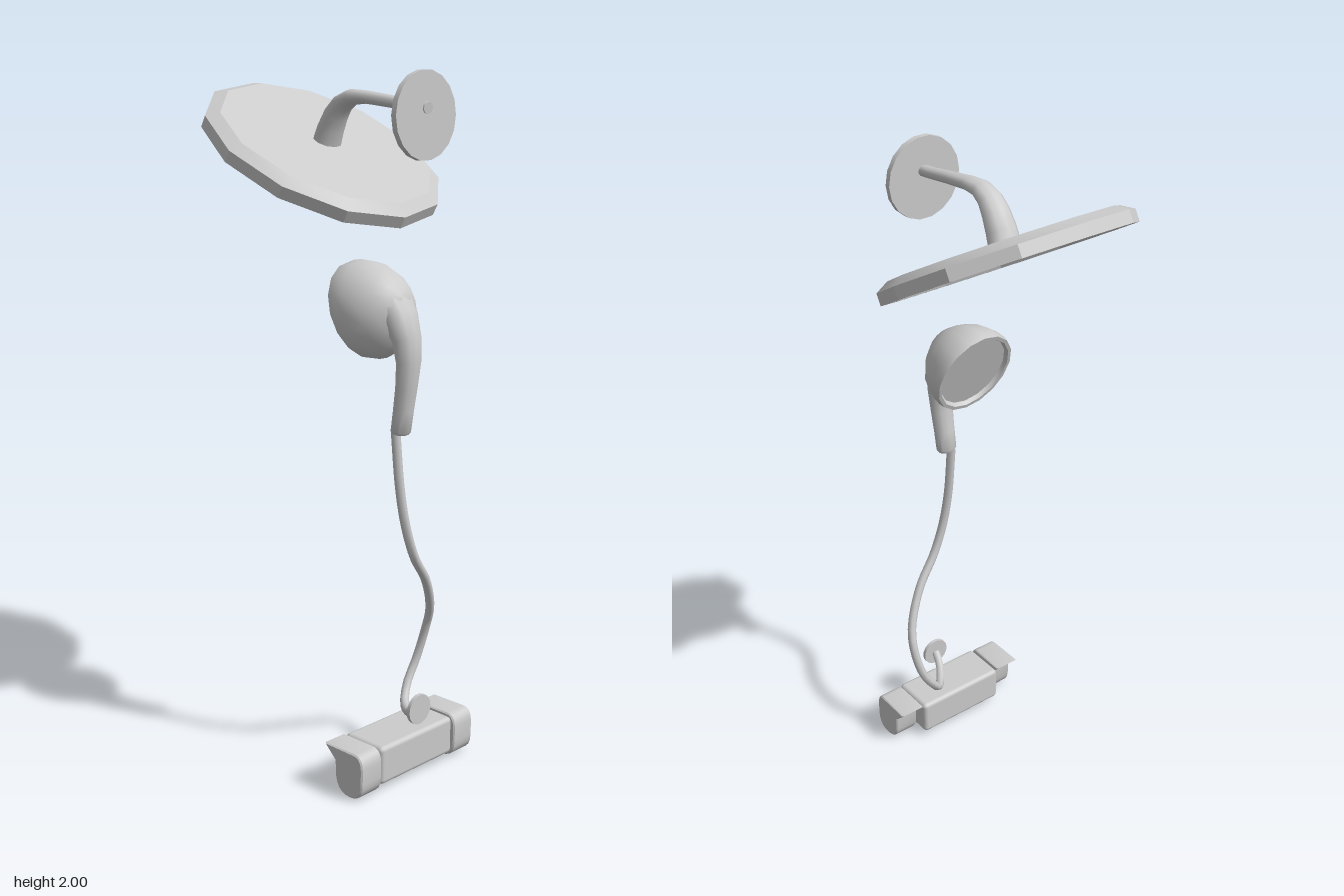
import * as THREE from 'three';
import { toCreasedNormals } from 'three/addons/utils/BufferGeometryUtils.js';
import { RoundedBoxGeometry } from 'three/addons/geometries/RoundedBoxGeometry.js';

const grey = new THREE.MeshStandardMaterial({ color: 0xcccccc });

function part(name, geometry, parent, crease = 0.6) {
  const mesh = new THREE.Mesh(crease ? toCreasedNormals(geometry, crease) : geometry, grey);
  mesh.name = name;
  parent.add(mesh);
  return mesh;
}

// Skin of elliptical sections [x, y, radius in plane, radius along z],
// square to the path or to a fixed direction, closed at both ends.
function loft(sections, sides, z0 = 0, direction = null) {
  const pos = [], index = [];
  const n = sections.length;
  sections.forEach(([x, y, rn, rz], i) => {
    const a = sections[Math.max(i - 1, 0)], b = sections[Math.min(i + 1, n - 1)];
    const t = (direction || new THREE.Vector2(b[0] - a[0], b[1] - a[1])).clone().normalize();
    for (let k = 0; k < sides; k++) {
      const ang = (k / sides) * Math.PI * 2;
      const u = Math.cos(ang) * rn;
      pos.push(x - t.y * u, y + t.x * u, z0 + Math.sin(ang) * rz);
    }
  });
  for (let i = 0; i < n - 1; i++) {
    for (let k = 0; k < sides; k++) {
      const k2 = (k + 1) % sides;
      const a = i * sides + k, b = i * sides + k2;
      index.push(a, b, b + sides, a, b + sides, a + sides);
    }
  }
  const first = pos.length / 3, last = first + 1, end = (n - 1) * sides;
  pos.push(sections[0][0], sections[0][1], z0, sections[n - 1][0], sections[n - 1][1], z0);
  for (let k = 0; k < sides; k++) {
    const k2 = (k + 1) % sides;
    index.push(first, k2, k, last, end + k, end + k2);
  }
  const g = new THREE.BufferGeometry();
  g.setAttribute('position', new THREE.Float32BufferAttribute(pos, 3));
  g.setIndex(index);
  g.computeVertexNormals();
  return g;
}

// Round wall plate facing along x
function wallPlate(name, parent, radius, thickness, x, y, z) {
  const g = new THREE.CylinderGeometry(radius, radius, thickness, 18);
  g.rotateZ(Math.PI / 2);
  part(name, g, parent).position.set(x, y, z);
}

export function createModel() {
  const model = new THREE.Group();
  model.name = 'showerSet';

  // Overhead shower: tilted twelve-sided disc with a shallow recess underneath
  const overhead = new THREE.Group();
  overhead.name = 'overheadShower';
  model.add(overhead);
  const discProfile = [[0, 0.01], [0.335, 0.01], [0.345, 0], [0.357, 0], [0.357, 0.035], [0.32, 0.056], [0, 0.056]]
    .map(([r, y]) => new THREE.Vector2(r, y));
  const disc = part('rainDisc', new THREE.LatheGeometry(discProfile, 12), overhead, 0.3);
  disc.position.set(-0.047, 1.763, 0);
  disc.rotation.z = -Math.PI / 6;

  // Curved arm, flared where it meets the disc
  part('overheadArm', loft([
    [-0.026, 1.80, 0.036, 0.049], [-0.008, 1.845, 0.033, 0.046], [0.014, 1.885, 0.03, 0.042],
    [0.04, 1.915, 0.026, 0.037], [0.075, 1.932, 0.022, 0.033], [0.13, 1.932, 0.018, 0.028],
    [0.22, 1.921, 0.017, 0.022], [0.30, 1.91, 0.016, 0.019], [0.357, 1.904, 0.016, 0.018],
  ], 10), overhead, 0.9);
  wallPlate('overheadWallPlate', overhead, 0.118, 0.017, 0.344, 1.885, 0.002);

  // Hand shower: domed head with a recessed face, and a bent handle
  const hand = new THREE.Group();
  hand.name = 'handShower';
  model.add(hand);
  const axis = new THREE.Vector2(0.94, 0.34);
  // depth along the axis, upper edge, lower edge, half width
  const headSections = [
    [0.012, 0.122, -0.122, 0.11], [0, 0.128, -0.128, 0.116], [0, 0.14, -0.14, 0.126],
    [0.02, 0.14, -0.147, 0.128], [0.05, 0.132, -0.15, 0.125], [0.09, 0.112, -0.14, 0.111],
    [0.125, 0.082, -0.112, 0.086], [0.155, 0.045, -0.07, 0.052], [0.168, 0.01, -0.03, 0.018],
  ].map(([s, up, low, w]) => {
    const mid = (up + low) / 2;
    return [0.14 + axis.x * s - axis.y * mid, 1.352 + axis.y * s + axis.x * mid, (up - low) / 2, w];
  });
  part('sprayHead', loft(headSections, 16, 0.022, axis), hand, 0.8);
  part('handle', loft([
    [0.293, 1.022, 0.022, 0.026], [0.294, 1.03, 0.027, 0.032], [0.303, 1.09, 0.027, 0.033],
    [0.313, 1.155, 0.027, 0.036], [0.32, 1.225, 0.03, 0.04], [0.313, 1.285, 0.036, 0.046],
    [0.286, 1.345, 0.044, 0.058], [0.248, 1.395, 0.05, 0.07], [0.205, 1.425, 0.05, 0.072],
  ], 12, 0.024), hand, 0.8);

  // Hose hanging in a loop down to its outlet
  const hosePath = new THREE.CatmullRomCurve3([
    [0.283, 1.03, 0.034], [0.297, 0.86, 0.028], [0.304, 0.75, 0.01], [0.302, 0.65, -0.03],
    [0.285, 0.56, -0.1], [0.25, 0.45, -0.16], [0.223, 0.38, -0.174], [0.204, 0.28, -0.155],
    [0.205, 0.215, -0.115], [0.225, 0.174, -0.08], [0.265, 0.165, -0.045], [0.31, 0.18, -0.015],
    [0.345, 0.205, -0.005],
  ].map((p) => new THREE.Vector3(...p)));
  part('hose', new THREE.TubeGeometry(hosePath, 36, 0.0135, 8), hand, 0);
  wallPlate('hoseWallPlate', hand, 0.045, 0.011, 0.349, 0.207, -0.005);

  // Mixer valve: rounded body and two knobs with a pointed lever edge
  const mixer = new THREE.Group();
  mixer.name = 'mixer';
  model.add(mixer);
  part('mixerBody', new RoundedBoxGeometry(0.147, 0.115, 0.306, 2, 0.014), mixer, 0)
    .position.set(0.279, 0.078, 0);

  const b = 0.004;
  const knobShape = new THREE.Shape();
  knobShape.moveTo(0.214, 0.134);
  knobShape.lineTo(0.253, 0.098);
  knobShape.lineTo(0.256, 0.045);
  knobShape.quadraticCurveTo(0.265, b, 0.304, b);
  knobShape.quadraticCurveTo(0.353, b, 0.353, 0.055);
  knobShape.lineTo(0.353, 0.1);
  knobShape.quadraticCurveTo(0.352, 0.134, 0.325, 0.134);
  knobShape.closePath();
  for (const side of [1, -1]) {
    const g = new THREE.ExtrudeGeometry(knobShape, {
      depth: 0.074, bevelEnabled: true, bevelSize: b, bevelThickness: b, bevelSegments: 1, curveSegments: 5,
    });
    g.translate(0, 0, -0.037);
    part(side > 0 ? 'leftKnob' : 'rightKnob', g, mixer, 0.5).position.z = side * 0.197;
  }

  return model;
}
